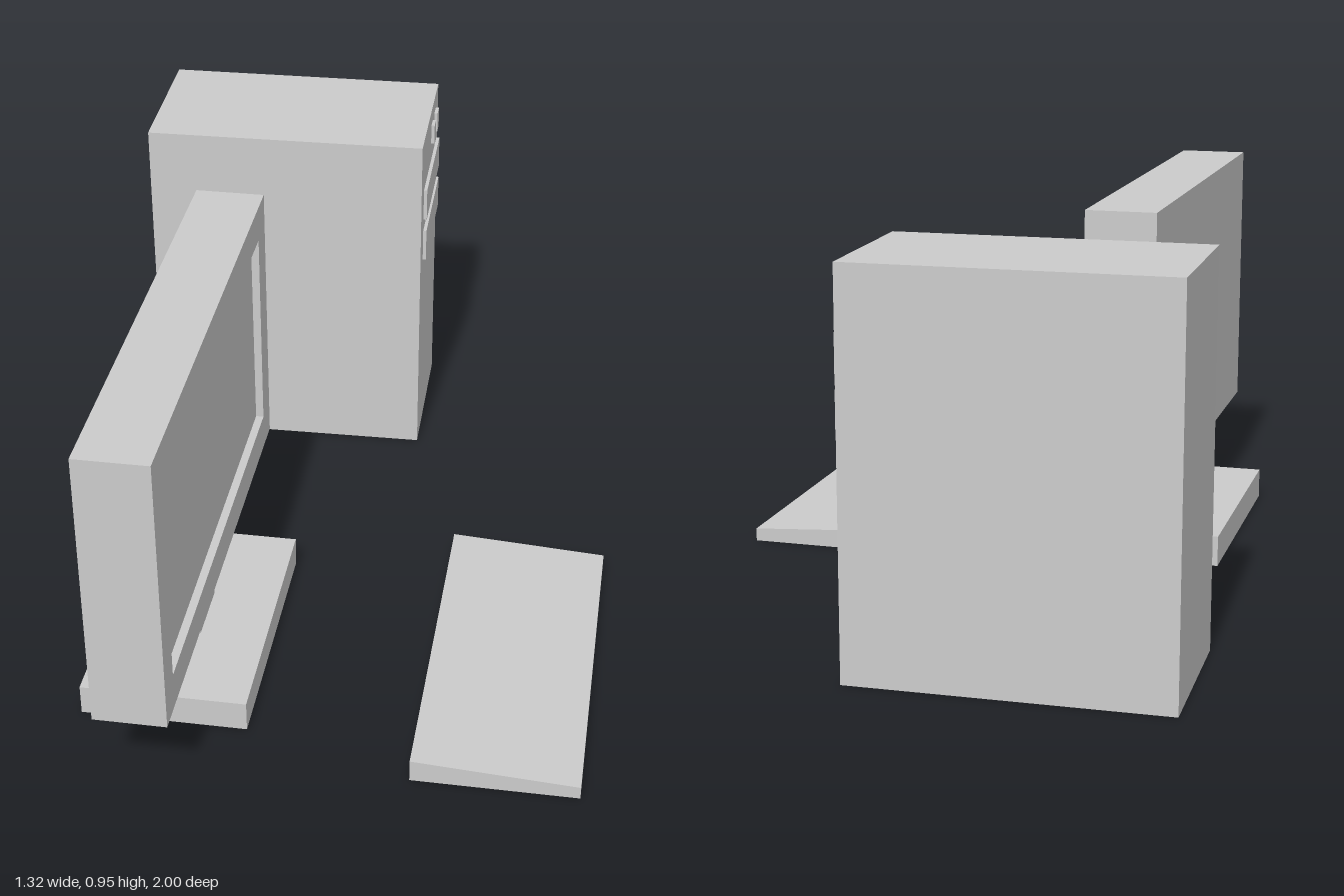
import * as THREE from 'three';

const material = new THREE.MeshStandardMaterial({ color: 0xcccccc, flatShading: true });

function addMesh(parent, name, geometry) {
  const mesh = new THREE.Mesh(geometry, material);
  mesh.name = name;
  parent.add(mesh);
  return mesh;
}

// Box given by its extents along each axis
function addBox(parent, name, [x0, x1], [y0, y1], [z0, z1]) {
  const mesh = addMesh(parent, name, new THREE.BoxGeometry(x1 - x0, y1 - y0, z1 - z0));
  mesh.position.set((x0 + x1) / 2, (y0 + y1) / 2, (z0 + z1) / 2);
  return mesh;
}

function rectangle(PathType, [x0, x1], [y0, y1]) {
  return new PathType([[x0, y0], [x1, y0], [x1, y1], [x0, y1]].map(p => new THREE.Vector2(...p)));
}

function createMonitor() {
  const monitor = new THREE.Group();
  monitor.name = 'monitor';
  addBox(monitor, 'standBase', [-0.56, -0.15], [0, 0.078], [0.05, 0.72]);
  addBox(monitor, 'standNeck', [-0.395, -0.315], [0.078, 0.235], [0.305, 0.472]);
  addBox(monitor, 'screenHousing', [-0.445, -0.29], [0.235, 0.948], [-0.23, 1]);

  // Bezel around the recessed screen, turned to face +x
  const outline = rectangle(THREE.Shape, [-1, 0.23], [0.235, 0.948]);
  outline.holes.push(rectangle(THREE.Path, [-0.925, 0.15], [0.325, 0.86]));
  const bezel = addMesh(monitor, 'screenBezel',
    new THREE.ExtrudeGeometry(outline, { depth: 0.02, bevelEnabled: false }));
  bezel.rotation.y = Math.PI / 2;
  bezel.position.x = -0.29;
  return monitor;
}

function createTower() {
  const tower = new THREE.Group();
  tower.name = 'tower';
  const side = 0.373;
  addBox(tower, 'towerCase', [-side, side], [0, 0.935], [-0.209, 0.209]);

  // Thin raised panels on the +x face: two drive bays and two buttons
  const panels = [
    ['upperDriveBay', [0.69, 0.78], [-0.185, 0.148]],
    ['lowerDriveBay', [0.565, 0.655], [-0.185, 0.148]],
    ['leftButton', [0.835, 0.89], [-0.066, -0.03]],
    ['rightButton', [0.835, 0.89], [-0.15, -0.11]],
  ];
  for (const [name, y, z] of panels) addBox(tower, name, [side - 0.01, side + 0.009], y, z);

  // The tower stands slightly turned
  tower.rotation.y = 0.022;
  tower.position.set(-0.285, 0, -0.783);
  return tower;
}

function createKeyboard() {
  // Wedge profile, extruded along z
  const profile = new THREE.Shape([[0.26, 0], [0.66, 0], [0.66, 0.033], [0.26, 0.058]]
    .map(p => new THREE.Vector2(...p)));
  const keyboard = new THREE.Group();
  keyboard.name = 'keyboard';
  const wedge = addMesh(keyboard, 'keyboardWedge',
    new THREE.ExtrudeGeometry(profile, { depth: 0.9, bevelEnabled: false }));
  wedge.position.z = -0.065;
  return keyboard;
}

export function createModel() {
  const model = new THREE.Group();
  model.name = 'desktopComputer';
  model.add(createMonitor(), createTower(), createKeyboard());
  return model;
}
